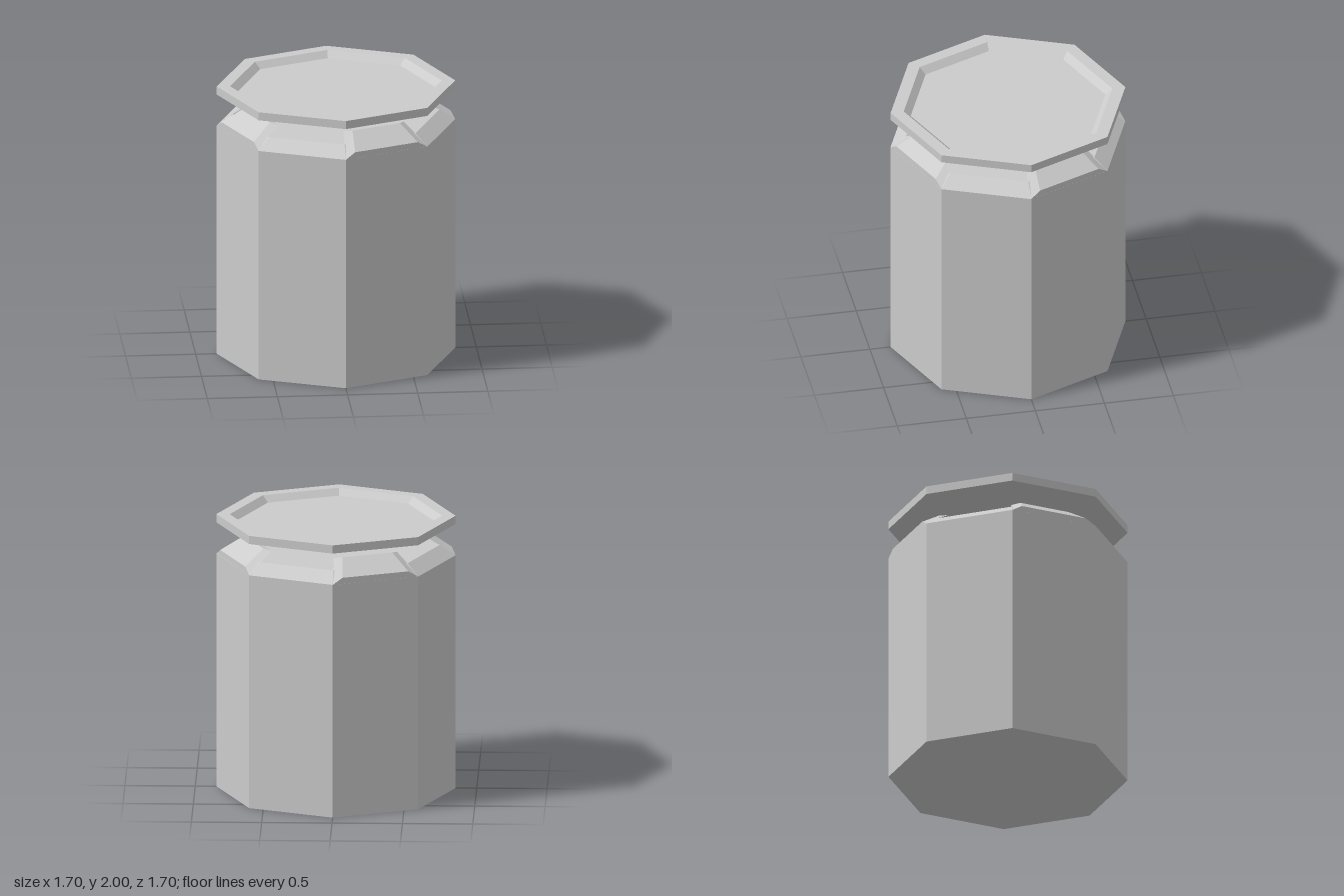
import * as THREE from 'three';

const SIDES = 8;

function grey() {
  return new THREE.MeshStandardMaterial({ color: 0xcccccc, flatShading: true });
}

// Eight-sided turned solid, one normal per facet
function facetedLathe(name, profile) {
  const points = profile.map(([r, y]) => new THREE.Vector2(r, y));
  const geometry = new THREE.LatheGeometry(points, SIDES).toNonIndexed();
  geometry.computeVertexNormals();
  const mesh = new THREE.Mesh(geometry, grey());
  mesh.name = name;
  return mesh;
}

// Raised bevelled pad standing on one side of the shoulder, facing +z
function padGeometry() {
  // Each section is [half width, height, distance from the axis]
  const corner = [0.325, 1.71, 0.785];
  const wall = [0.25, 1.755, 0.785];
  const crest = [0.19, 1.86, 0.625];
  const neck = [0.241, 1.85, 0.582];
  const foot = [0.283, 1.787, 0.684];
  const L = ([w, y, z]) => [-w, y, z];
  const R = (p) => p;
  const positions = [];
  const polygon = (...p) => {
    for (let i = 1; i < p.length - 1; i++) positions.push(...p[0], ...p[i], ...p[i + 1]);
  };
  const band = (a, b) => polygon(L(a), R(a), R(b), L(b));

  // Outer wall, sloping face, rim and underside
  const loop = [corner, wall, crest, neck, foot];
  for (let i = 0; i < loop.length - 1; i++) band(loop[i], loop[i + 1]);

  // Two ends
  polygon(...[corner, foot, neck, crest, wall].map(R));
  polygon(...loop.map(L));

  const geometry = new THREE.BufferGeometry();
  geometry.setAttribute('position', new THREE.Float32BufferAttribute(positions, 3));
  geometry.computeVertexNormals();
  return geometry;
}

export function createModel() {
  const model = new THREE.Group();
  model.name = 'lidded container';

  // Body with sloped shoulder and flat top
  model.add(facetedLathe('body', [
    [0, 0], [0.85, 0], [0.85, 1.71], [0.74, 1.787], [0, 1.787],
  ]));

  // Pads on every other side
  const pad = padGeometry();
  for (let i = 0; i < 4; i++) {
    const mesh = new THREE.Mesh(pad, grey());
    mesh.name = 'shoulderPad' + (i + 1);
    mesh.rotation.y = Math.PI / 8 + (i * Math.PI) / 2;
    model.add(mesh);
  }

  // Floating lid with a shallow recess
  model.add(facetedLathe('lid', [
    [0, 1.94], [0.85, 1.94], [0.85, 2], [0.755, 2], [0.705, 1.955], [0, 1.955],
  ]));

  return model;
}
